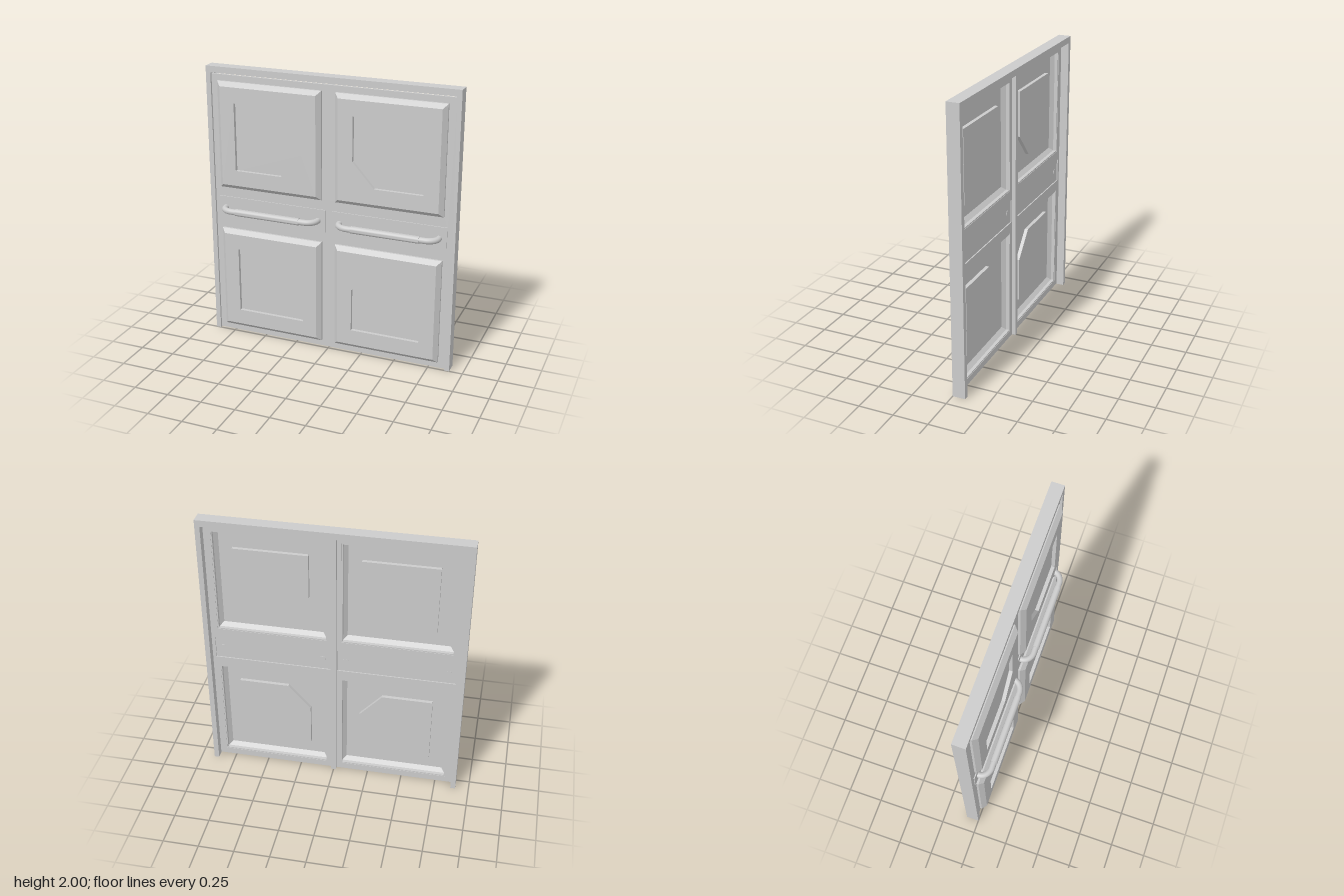
import * as THREE from 'three';
import { mergeVertices, toCreasedNormals } from 'three/addons/utils/BufferGeometryUtils.js';

const grey = new THREE.MeshStandardMaterial({ color: 0xcccccc });
const greyBoth = new THREE.MeshStandardMaterial({ color: 0xcccccc, side: THREE.DoubleSide });

function add(parent, name, geometry, material = grey) {
  const mesh = new THREE.Mesh(geometry, material);
  mesh.name = name;
  parent.add(mesh);
  return mesh;
}

// Corner loop of a rectangle, counter-clockwise
const rect = (x0, y0, x1, y1, inset = 0) => [
  [x0 + inset, y0 + inset], [x1 - inset, y0 + inset],
  [x1 - inset, y1 - inset], [x0 + inset, y1 - inset],
].map(([x, y]) => new THREE.Vector2(x, y));

// Flat slab between two depths, with optional holes
function slab(points, z0, z1, holes = []) {
  const shape = new THREE.Shape(points);
  shape.holes = holes.map((h) => new THREE.Path(h));
  const g = new THREE.ExtrudeGeometry(shape, { depth: z1 - z0, bevelEnabled: false });
  return g.translate(0, 0, z0);
}

// Strip of quads joining successive rectangular loops given as [points, z]
function loft(loops) {
  const pos = [];
  for (let k = 0; k < loops.length - 1; k++) {
    const [a, za] = loops[k];
    const [b, zb] = loops[k + 1];
    for (let i = 0; i < a.length; i++) {
      const j = (i + 1) % a.length;
      pos.push(a[i].x, a[i].y, za, a[j].x, a[j].y, za, b[j].x, b[j].y, zb);
      pos.push(a[i].x, a[i].y, za, b[j].x, b[j].y, zb, b[i].x, b[i].y, zb);
    }
  }
  const g = new THREE.BufferGeometry();
  g.setAttribute('position', new THREE.Float32BufferAttribute(pos, 3));
  g.computeVertexNormals();
  return g;
}

// Cupped square panel with a sunken five-sided field; sx and sy place the cut corner
function panel(sx, upper) {
  const group = new THREE.Group();
  group.name = (upper ? 'upper' : 'lower') + (sx > 0 ? 'Left' : 'Right') + 'Panel';
  const sy = upper ? 1 : -1;
  const w = 0.385, h = 0.384;
  const box = (inset) => rect(-w, -h, w, h, inset);
  // Field outline, cut at the corner nearest the door centre
  let field = [[0.25, 0.242], [-0.25, 0.242], [-0.25, -0.07], [-0.095, -0.243], [0.25, -0.243]]
    .map(([x, y]) => new THREE.Vector2(x * sx, y * sy));
  if (sx * sy < 0) field.reverse();
  const outer = field.map((p) => p.clone().multiplyScalar(1.03));

  add(group, 'panelSlope', loft([
    [box(0), -0.03], [box(0), 0], [box(0.03), 0.03],
    [box(0.034), 0.02], [box(0.008), -0.006], [box(0.008), -0.03], [box(0), -0.03],
  ]), greyBoth);
  add(group, 'panelFace', slab(box(0.03), 0.02, 0.03, [field]));
  add(group, 'fieldRim', slab(outer, 0.005, 0.02, [field]));
  add(group, 'fieldFloor', slab(outer, -0.005, 0.005));
  group.position.set(sx * 0.435, upper ? 1.518 : 0.436, 0);
  return group;
}

// Bent pull bar with a thicker grip in the middle
function handle() {
  const group = new THREE.Group();
  const half = 0.355, z = 0.065, bend = 0.075;
  const v = (x, d) => new THREE.Vector3(x, 0, d);
  const path = new THREE.CurvePath();
  path.add(new THREE.LineCurve3(v(-half, -0.027), v(-half, 0)));
  path.add(new THREE.CubicBezierCurve3(v(-half, 0), v(-half, 0.04), v(-half + 0.04, z), v(-half + bend, z)));
  path.add(new THREE.LineCurve3(v(-half + bend, z), v(half - bend, z)));
  path.add(new THREE.CubicBezierCurve3(v(half - bend, z), v(half - 0.04, z), v(half, 0.04), v(half, 0)));
  path.add(new THREE.LineCurve3(v(half, 0), v(half, -0.027)));
  add(group, 'handleBar', new THREE.TubeGeometry(path, 80, 0.021, 20));
  const grip = new THREE.CylinderGeometry(0.025, 0.025, 0.485, 24).rotateZ(Math.PI / 2);
  add(group, 'handleGrip', toCreasedNormals(mergeVertices(grip), 0.7)).position.z = z;
  // Fixing discs on the back of the door
  for (const s of [-1, 1]) {
    const disc = new THREE.CylinderGeometry(0.021, 0.021, 0.004, 20).rotateX(Math.PI / 2);
    add(group, 'fixingDisc', disc).position.set(s * half, 0, -0.026);
  }
  return group;
}

export function createModel() {
  const model = new THREE.Group();
  model.name = 'doubleDoor';

  // Three-sided surround, open at the floor
  const frame = [[-0.905, 0], [-0.87, 0], [-0.87, 1.955], [0.87, 1.955], [0.87, 0], [0.905, 0], [0.905, 2], [-0.905, 2]]
    .map(([x, y]) => new THREE.Vector2(x, y));
  add(model, 'frame', slab(frame, -0.09, 0));

  // Door sheet with openings for the panels and handle plates
  const holes = [];
  for (const s of [-1, 1]) {
    for (const y of [0.436, 1.518]) {
      holes.push(rect(s * 0.435 - 0.385, y - 0.384, s * 0.435 + 0.385, y + 0.384));
    }
    holes.push(rect(s * 0.435 - 0.41, 0.895, s * 0.435 + 0.41, 1.06));
  }
  add(model, 'doorSheet', slab(rect(-0.87, 0.005, 0.87, 1.945), -0.033, -0.015, holes));

  // Rib behind the meeting edge
  add(model, 'centreRib', slab(rect(-0.018, 0.005, 0.018, 1.945), -0.06, -0.032));

  for (const s of [-1, 1]) {
    model.add(panel(s, true), panel(s, false));
    const plate = rect(s * 0.435 - 0.41, 0.895, s * 0.435 + 0.41, 1.06);
    add(model, 'handlePlate', slab(plate, -0.025, -0.008));
    const pull = handle();
    pull.name = s > 0 ? 'leftHandle' : 'rightHandle';
    pull.position.set(s * 0.435, 0.977, 0);
    model.add(pull);
  }
  return model;
}
